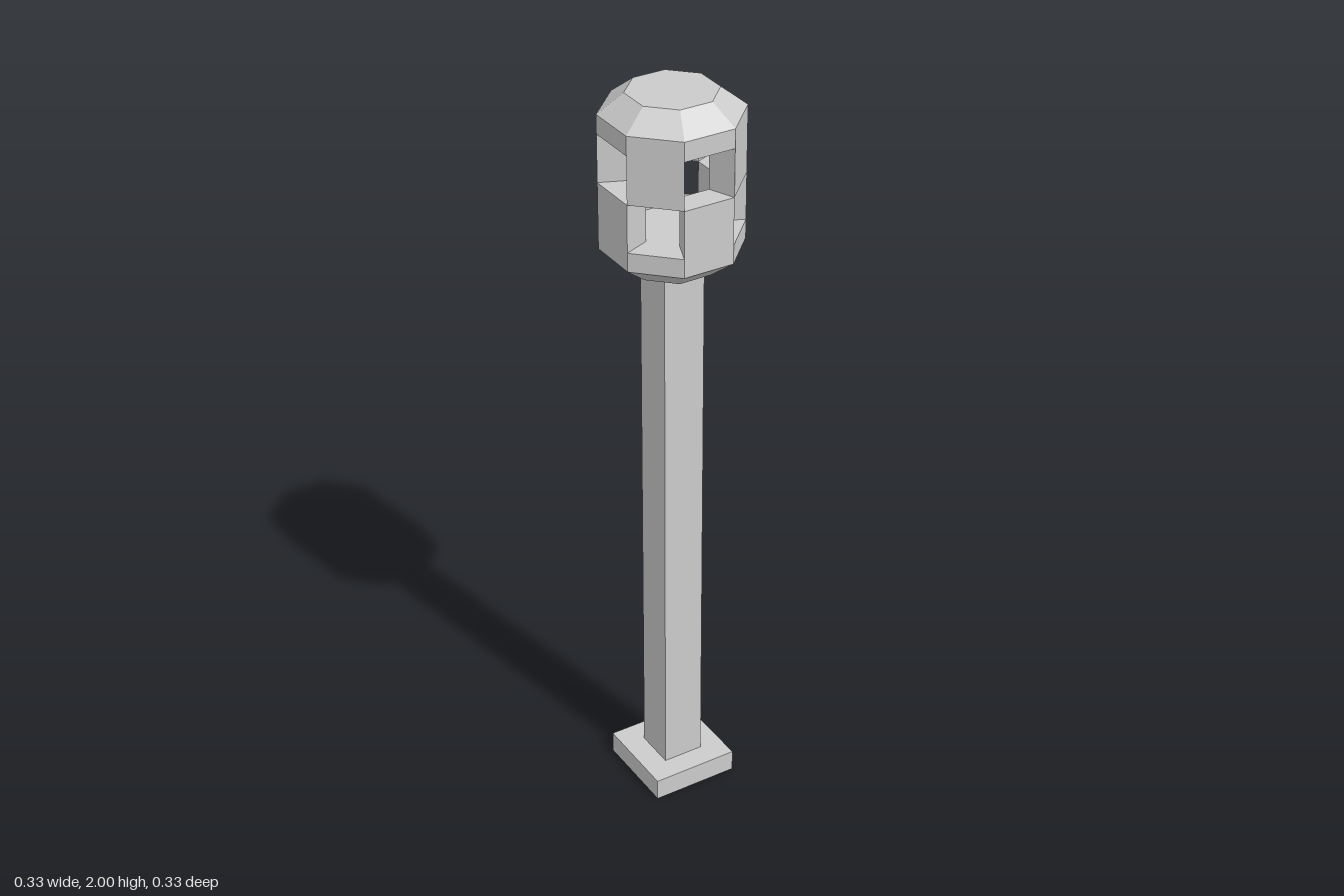
import * as THREE from 'three';

const OUTER = 0.165, INNER = 0.0975, CAP = 0.105; // octagon apothems
const toRadius = (apothem) => apothem / Math.cos(Math.PI / 8);
const material = new THREE.MeshStandardMaterial({ color: 0xcccccc, flatShading: true });

function addMesh(parent, name, geometry, y) {
  const mesh = new THREE.Mesh(geometry, material);
  mesh.name = name;
  mesh.position.y = y;
  parent.add(mesh);
  return mesh;
}

// Solid octagonal slab with flat sides facing the axes
function octagon(topApothem, bottomApothem, height) {
  const g = new THREE.CylinderGeometry(toRadius(topApothem), toRadius(bottomApothem), height, 8);
  return g.rotateY(Math.PI / 8);
}

// One wall block of the octagonal lantern, with radial sides
function wallBlock(height) {
  const t = Math.tan(Math.PI / 8);
  const shape = new THREE.Shape([
    new THREE.Vector2(-OUTER * t, -OUTER),
    new THREE.Vector2(OUTER * t, -OUTER),
    new THREE.Vector2(INNER * t, -INNER),
    new THREE.Vector2(-INNER * t, -INNER),
  ]);
  return new THREE.ExtrudeGeometry(shape, { depth: height, bevelEnabled: false }).rotateX(-Math.PI / 2);
}

export function createModel() {
  const model = new THREE.Group();
  model.name = 'lampPost';

  // Square foot and post
  addMesh(model, 'base', new THREE.BoxGeometry(0.238, 0.06, 0.238), 0.03);
  addMesh(model, 'post', new THREE.BoxGeometry(0.112, 1.49, 0.112), 0.805);

  // Lantern floor and roof, each a slab with a chamfer
  const lantern = new THREE.Group();
  lantern.name = 'lantern';
  model.add(lantern);
  addMesh(lantern, 'floorChamfer', octagon(OUTER, CAP, 0.05), 1.575);
  addMesh(lantern, 'floorSlab', octagon(OUTER, OUTER, 0.05), 1.625);
  addMesh(lantern, 'roofSlab', octagon(OUTER, OUTER, 0.05), 1.925);
  addMesh(lantern, 'roofChamfer', octagon(CAP, OUTER, 0.05), 1.975);

  // Checkered walls: lower blocks face the axes, upper blocks the diagonals
  const block = wallBlock(0.125);
  for (let i = 0; i < 8; i++) {
    const upper = i % 2 === 1;
    const wall = addMesh(lantern, upper ? 'upperWall' : 'lowerWall', block, upper ? 1.775 : 1.65);
    wall.rotation.y = (i * Math.PI) / 4;
  }
  return model;
}
